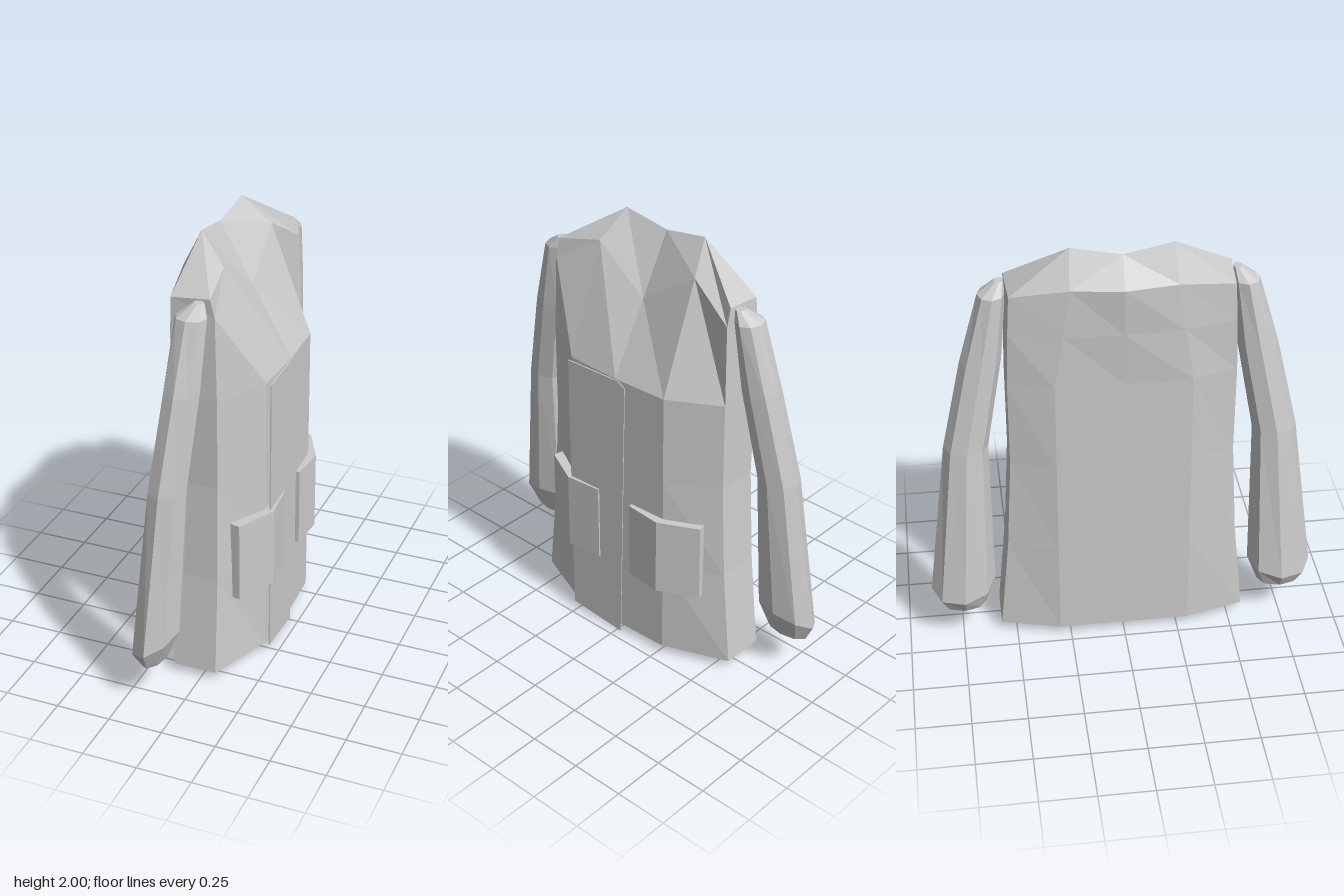
import * as THREE from 'three';

const material = new THREE.MeshStandardMaterial({ color: 0xcccccc, flatShading: true, side: THREE.DoubleSide });

function part(name, geometry) {
  const mesh = new THREE.Mesh(geometry, material);
  mesh.name = name;
  return mesh;
}

// Skin a stack of rings (bottom to top, each running +x to +z); topFaces lists the polygons closing the top.
function loft(rings, topFaces) {
  const n = rings[0].length, index = [];
  for (let r = 0; r < rings.length - 1; r++) {
    for (let j = 0; j < n; j++) {
      const a = r * n + j, b = r * n + (j + 1) % n;
      index.push(a, a + n, b + n, a, b + n, b);
    }
  }
  const top = (rings.length - 1) * n;
  for (let i = 1; i < n - 1; i++) index.push(0, i, i + 1);
  for (const f of topFaces) {
    for (let i = 1; i < f.length - 1; i++) index.push(top + f[0], top + f[i + 1], top + f[i]);
  }
  const g = new THREE.BufferGeometry();
  g.setAttribute('position', new THREE.Float32BufferAttribute(rings.flat(2), 3));
  g.setIndex(index);
  const flat = g.toNonIndexed();
  flat.computeVertexNormals();
  return flat;
}

// Half a ring from front centre to back centre, mirrored across z
function mirrorRing(half) {
  return [...half, ...half.slice(1, -1).reverse().map(([x, y, z]) => [x, y, -z])];
}

function createBody() {
  // height, front side corner x, side half width, back corner x
  const levels = [[0.04, 0.07, 0.57, -0.13], [0.5, 0.065, 0.525, -0.13], [0.95, 0.06, 0.5, -0.13], [1.37, 0.06, 0.5, -0.14]];
  const rings = levels.map(([y, fx, w, bx]) => mirrorRing([
    [0.2, y, 0], [0.19, y, 0.27], [fx, y, w], [bx, y, w], [-0.2, y, 0.3], [-0.2, y, 0],
  ]));
  // chest slope below the collar
  rings.push(mirrorRing([
    [0.02, 1.69, 0], [0, 1.87, 0.27], [0.05, 1.74, 0.49], [-0.15, 1.62, 0.49], [-0.2, 1.62, 0.26], [-0.215, 1.62, 0],
  ]));
  // collar ridge, shoulders and upper back
  rings.push(mirrorRing([
    [-0.13, 1.96, 0], [-0.12, 2, 0.22], [0.03, 1.82, 0.49], [-0.15, 1.8, 0.48], [-0.2, 1.84, 0.23], [-0.23, 1.84, 0],
  ]));
  return part('coatBody', loft(rings, [[0, 1, 4, 5], [1, 2, 3, 4], [0, 5, 6, 9], [9, 6, 7, 8]]));
}

// Overlapping front panel, lying just over the body
function createFlap() {
  const shape = new THREE.Shape([[-0.27, 0.035], [0.02, 0], [0.055, 1.34], [0.02, 1.365], [-0.27, 1.365]]
    .map(([u, v]) => new THREE.Vector2(u, v)));
  const g = new THREE.ExtrudeGeometry(shape, { depth: 0.006, bevelEnabled: false });
  g.rotateY(Math.PI / 2 + 0.037);
  g.translate(0.198, 0, 0);
  return part('frontFlap', g);
}

function createSleeve(side) {
  // centre x, y, z, half width x, half width z, tilt toward front, tilt outward
  const levels = [
    [-0.14, 0.19, 0.74, 0.055, 0.1, 0.01, 0],
    [-0.13, 0.3, 0.738, 0.105, 0.148, 0.05, -0.02],
    [-0.085, 1.03, 0.69, 0.085, 0.1, 0, 0],
    [-0.05, 1.45, 0.605, 0.08, 0.09, 0, 0],
    [-0.03, 1.76, 0.545, 0.07, 0.06, 0, 0],
    [-0.01, 1.81, 0.51, 0.025, 0.02, 0, 0],
  ];
  const sides = 8;
  const rings = levels.map(([cx, cy, cz, rx, rz, tf, to]) => Array.from({ length: sides }, (_, i) => {
    const a = (i / sides) * Math.PI * 2, c = Math.cos(a), s = Math.sin(a);
    return [cx + rx * c, cy + tf * c + to * side * s, side * cz + rz * s];
  }));
  return part(side > 0 ? 'sleeveA' : 'sleeveB', loft(rings, [[...Array(sides).keys()]]));
}

// Patch pocket folded around the front crease
function createPocket(side) {
  const outline = [[0.215, 0.1], [0.23, 0.275], [0.14, 0.455], [0.09, 0.445], [0.18, 0.27], [0.19, 0.1]];
  const shape = new THREE.Shape(outline.map(([x, z]) => new THREE.Vector2(x, -side * (z - (side < 0 ? 0.01 : 0)))));
  const g = new THREE.ExtrudeGeometry(shape, { depth: 0.375, bevelEnabled: false });
  g.rotateX(-Math.PI / 2);
  g.translate(0, 0.38, 0);
  return part(side > 0 ? 'pocketA' : 'pocketB', g);
}

export function createModel() {
  const coat = new THREE.Group();
  coat.name = 'coat';
  coat.add(createBody(), createFlap());
  for (const side of [1, -1]) coat.add(createSleeve(side), createPocket(side));
  return coat;
}
